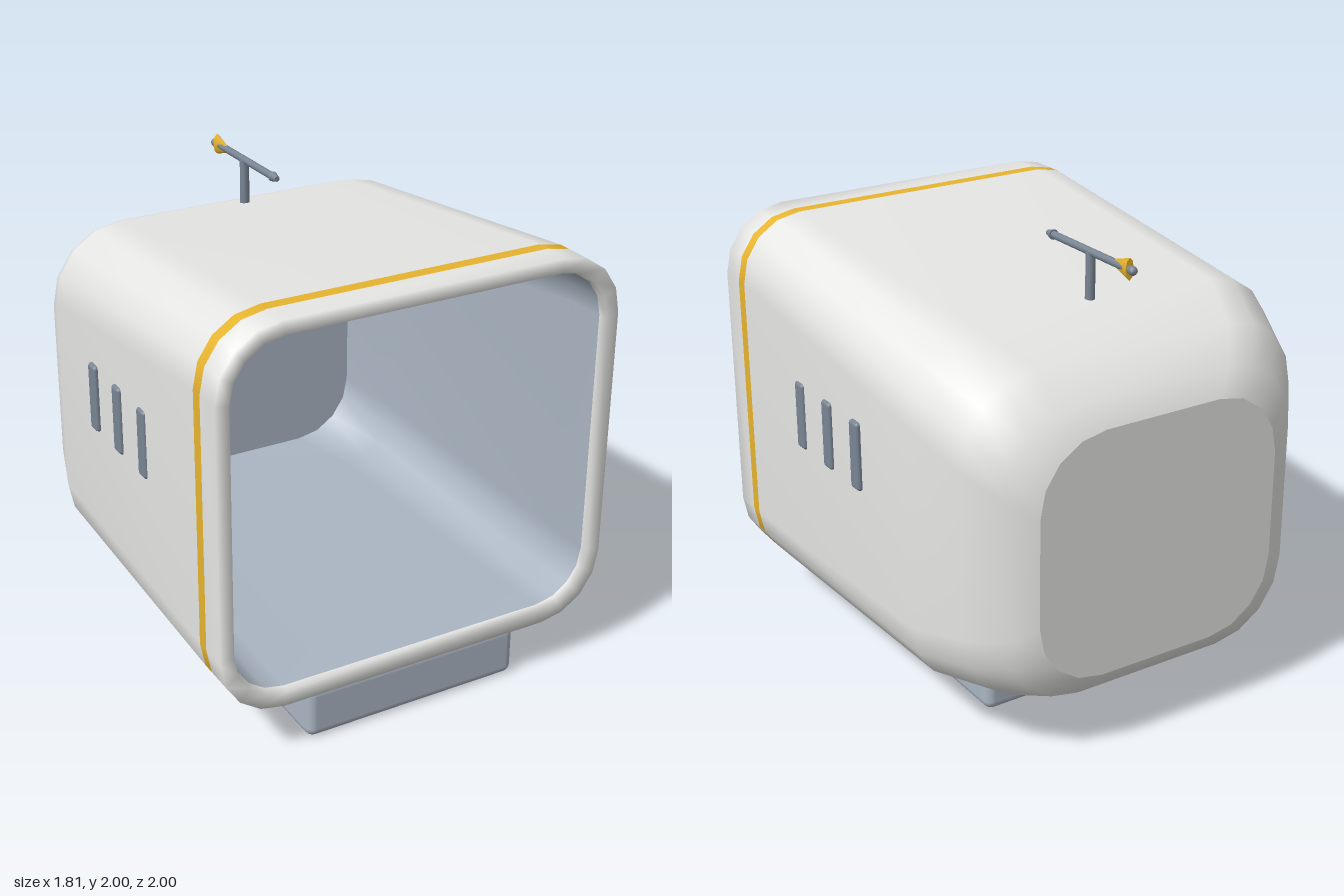
import * as THREE from 'three';
import { RoundedBoxGeometry } from 'three/addons/geometries/RoundedBoxGeometry.js';

const CORNER_STEPS = 4;

function material(name, color) {
  const m = new THREE.MeshStandardMaterial({ color });
  m.name = name;
  return m;
}

// Rounded rectangle outline, counter-clockwise seen from +z
function outline([, hw, bottom, top, r]) {
  const pts = [];
  const corners = [[hw - r, top - r], [r - hw, top - r], [r - hw, bottom + r], [hw - r, bottom + r]];
  corners.forEach(([cx, cy], q) => {
    for (let i = 0; i <= CORNER_STEPS; i++) {
      const a = (q + i / CORNER_STEPS) * Math.PI / 2;
      pts.push(new THREE.Vector2(cx + r * Math.cos(a), cy + r * Math.sin(a)));
    }
  });
  return pts;
}

// Joins the outlines with smooth skin; colours holds one material index per span
function loft(sections, colours) {
  const positions = [], index = [];
  const geo = new THREE.BufferGeometry();
  const n = 4 * (CORNER_STEPS + 1);
  sections.forEach((s) => outline(s).forEach((p) => positions.push(p.x, p.y, s[0])));
  colours.forEach((c, row) => {
    const start = index.length;
    for (let i = 0; i < n; i++) {
      const a = row * n + i, b = row * n + (i + 1) % n;
      index.push(a, a + n, b, b, a + n, b + n);
    }
    geo.addGroup(start, index.length - start, c);
  });
  geo.setAttribute('position', new THREE.Float32BufferAttribute(positions, 3));
  geo.setIndex(index);
  geo.computeVertexNormals();
  return geo;
}

export function createModel() {
  const model = new THREE.Group();
  model.name = 'podHousing';
  const shellMat = material('off white shell', 0xe6e6e4);
  const greyMat = material('blue grey lining', 0xaab5c2);
  const darkMat = material('slate trim', 0x7a8694);
  const yellowMat = material('yellow accent', 0xe8b52f);

  function add(name, geo, mat, x = 0, y = 0, z = 0, parent = model) {
    const mesh = new THREE.Mesh(geo, mat);
    mesh.name = name;
    mesh.position.set(x, y, z);
    parent.add(mesh);
    return mesh;
  }

  // Shell: from the inner back wall forward, round the lip, then back along the outside
  // Each section is z, half width, bottom, top, corner radius
  const sections = [
    [-0.74, 0.68, 0.38, 1.53, 0.27],
    [-0.5, 0.8, 0.31, 1.67, 0.25],
    [0.8, 0.825, 0.30, 1.805, 0.22],
    [0.97, 0.83, 0.30, 1.81, 0.22],
    [1, 0.84, 0.29, 1.82, 0.23],
    [1, 0.9, 0.225, 1.88, 0.28],
    [0.88, 0.9, 0.225, 1.88, 0.28],
    [0.825, 0.9, 0.225, 1.88, 0.28],
    [-0.55, 0.88, 0.235, 1.75, 0.32],
    [-0.8, 0.8, 0.255, 1.655, 0.34],
    [-0.945, 0.68, 0.285, 1.54, 0.33],
    [-1, 0.57, 0.37, 1.44, 0.3],
  ];
  add('shell', loft(sections, [1, 1, 1, 0, 0, 0, 2, 0, 0, 0, 0]), [shellMat, greyMat, yellowMat]);

  // Flat walls that close the cavity and the back
  const wall = (s) => new THREE.ShapeGeometry(new THREE.Shape(outline(s)));
  add('innerBackWall', wall(sections[0]), greyMat, 0, 0, sections[0][0]);
  add('backWall', wall(sections[sections.length - 1]), shellMat, 0, 0, -1).rotation.y = Math.PI;

  // Foot
  add('base', new RoundedBoxGeometry(1, 0.235, 1.48, 3, 0.04), greyMat, 0, 0.1175, 0.24);

  // Three vents on each side
  for (const side of [1, -1]) {
    for (const z of [0.335, 0.095, -0.145]) {
      add('sideVent', new RoundedBoxGeometry(0.04, 0.3, 0.07, 2, 0.015), darkMat, side * 0.885, 1.16, z);
    }
  }

  // Wind vane on the roof
  const vane = new THREE.Group();
  vane.name = 'windVane';
  vane.position.set(0, 1.95, -0.49);
  model.add(vane);
  add('vanePost', new THREE.CylinderGeometry(0.02, 0.022, 0.24, 10), darkMat, 0, -0.12, 0, vane);
  add('vaneArm', new THREE.CylinderGeometry(0.016, 0.016, 0.56, 10).rotateX(Math.PI / 2), darkMat, 0, 0, 0, vane);
  add('vaneTip', new THREE.CylinderGeometry(0.012, 0.022, 0.04, 10).rotateX(Math.PI / 2), darkMat, 0, 0, 0.28, vane);
  add('vaneTailEnd', new THREE.SphereGeometry(0.019, 10, 8), darkMat, 0, 0, -0.28, vane);
  const tail = new THREE.ConeGeometry(0.046, 0.15, 8).rotateX(Math.PI / 2).scale(0.42, 1, 1);
  add('vaneTail', tail, yellowMat, 0, 0, -0.185, vane);

  return model;
}
